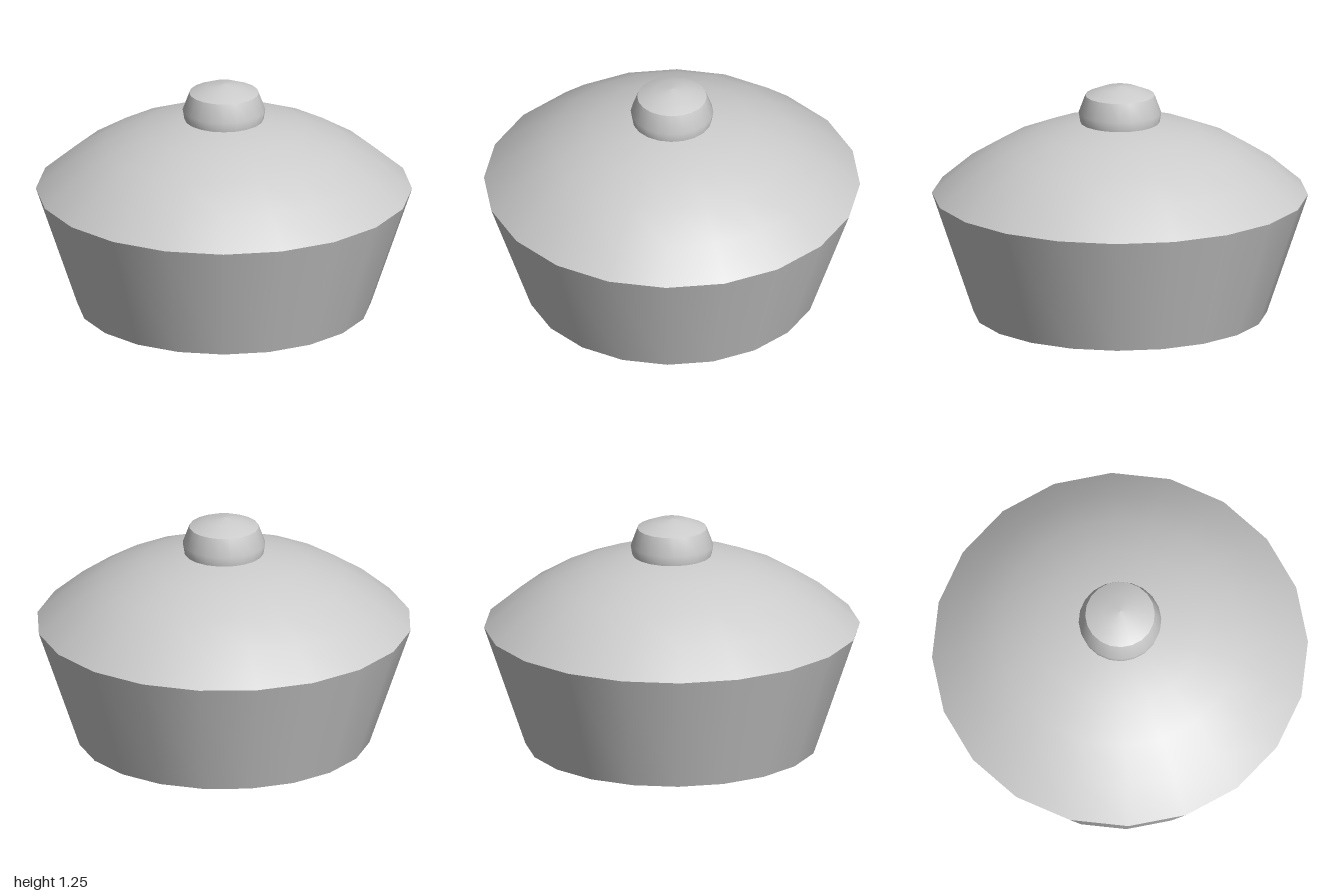
import * as THREE from 'three';

const SIDES = 20;
const material = new THREE.MeshStandardMaterial({ color: 0xcccccc });

// Smooth surface of revolution; profile runs from the bottom up as [radius, y]
function turned(name, profile) {
  const points = profile.map(([r, y]) => new THREE.Vector2(r, y));
  const mesh = new THREE.Mesh(new THREE.LatheGeometry(points, SIDES), material);
  mesh.name = name;
  return mesh;
}

export function createModel() {
  const model = new THREE.Group();
  model.name = 'lidded pot';

  // Flared bowl with a flat bottom; separate meshes keep the rims sharp
  const rimY = 0.65;
  model.add(turned('bowlBottom', [[0, 0], [0.78, 0]]));
  model.add(turned('bowlWall', [[0.78, 0], [1, rimY]]));

  // Lid: a 45 degree spherical cap in five bands
  const R = Math.SQRT2, bands = 5, dome = [];
  for (let i = bands; i >= 0; i--) {
    const a = (i / bands) * (Math.PI / 4);
    dome.push([R * Math.sin(a), rimY - 1 + R * Math.cos(a)]);
  }
  model.add(turned('lid', dome));

  // Knob: rounded side and a shallow domed top
  model.add(turned('knobSide', [[0.21, 1.04], [0.22, 1.1], [0.185, 1.195]]));
  model.add(turned('knobTop', [[0.185, 1.195], [0.095, 1.233], [0, 1.245]]));

  return model;
}
